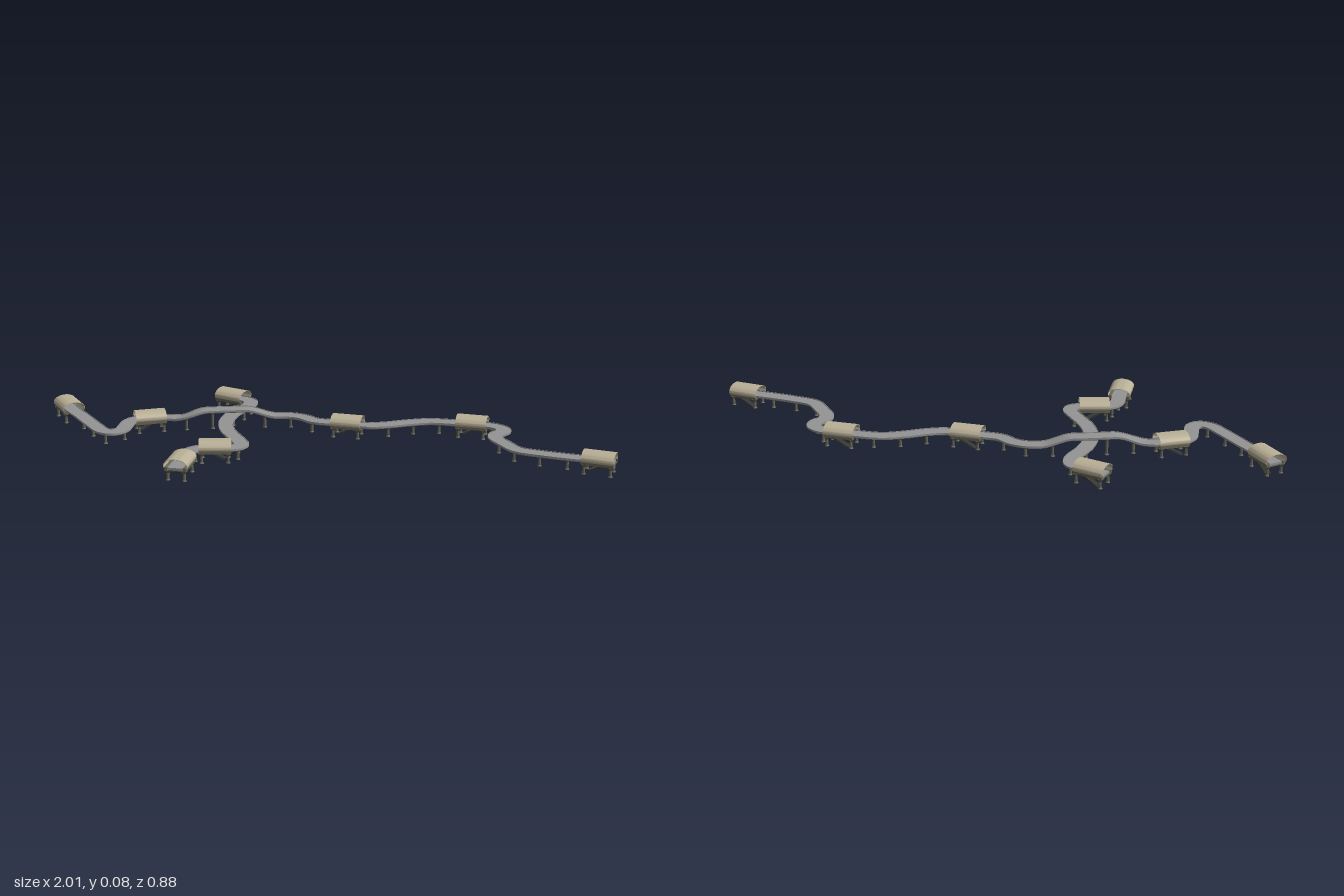
import * as THREE from 'three';
import { toCreasedNormals } from 'three/addons/utils/BufferGeometryUtils.js';

const mat = (name, color) => {
  const m = new THREE.MeshStandardMaterial({ color });
  m.name = name;
  return m;
};
const grey = mat('concrete grey', 0x959595);
const tan = mat('roof tan', 0xbab097);
const olive = mat('pier olive', 0x6a6857);
const dark = mat('stair dark grey', 0x3c3c3a);

const add = (parent, name, geometry, material, x = 0, y = 0, z = 0) => {
  const m = new THREE.Mesh(geometry, material);
  m.name = name;
  m.position.set(x, y, z);
  parent.add(m);
  return m;
};

// Sweeps a counterclockwise [across, up] profile along frames { p, t }
function sweep(frames, profile) {
  const rings = frames.map(({ p, t }) => {
    const l = Math.hypot(t.x, t.z);
    return profile.map(([u, v]) => [p.x - (t.z / l) * u, p.y + v, p.z + (t.x / l) * u]);
  });
  const out = [], n = profile.length;
  const tri = (...c) => c.forEach((q) => out.push(...q));
  for (let i = 0; i < rings.length - 1; i++) {
    const A = rings[i], B = rings[i + 1];
    for (let j = 0; j < n; j++) {
      const k = (j + 1) % n;
      tri(A[j], B[j], A[k]);
      tri(A[k], B[j], B[k]);
    }
  }
  const first = rings[0], last = rings[rings.length - 1];
  const faces = THREE.ShapeUtils.triangulateShape(profile.map(([u, v]) => new THREE.Vector2(u, v)), []);
  for (const [a, b, c] of faces) {
    tri(first[a], first[b], first[c]);
    tri(last[a], last[c], last[b]);
  }
  const g = new THREE.BufferGeometry();
  g.setAttribute('position', new THREE.Float32BufferAttribute(out, 3));
  return toCreasedNormals(g, 0.6);
}

// Routes as [x, z]; entries with four numbers are stations: [x, z, dirX, dirZ]
const mainRoute = [
  [-0.943, -0.28, 9, 19], [-0.89, -0.18], [-0.825, -0.055], [-0.79, 0.003], [-0.755, 0.02], [-0.725, 0],
  [-0.713, -0.045], [-0.703, -0.09], [-0.63, -0.132, 19.5, -4.5], [-0.49, -0.13], [-0.4, -0.14],
  [-0.29, -0.147], [-0.18, -0.15], [-0.115, -0.147], [-0.067, -0.125], [-0.025, -0.083],
  [0.093, -0.045, 20, 6], [0.175, -0.021], [0.24, -0.028], [0.32, -0.049], [0.4, -0.06],
  [0.547, -0.024, 20, 6], [0.625, 0.005], [0.65, 0.035], [0.648, 0.067], [0.617, 0.1], [0.612, 0.136],
  [0.638, 0.2], [0.67, 0.26], [0.75, 0.302], [0.83, 0.334], [0.932, 0.374, 19, 8],
];
const crossRoute = [
  [-0.329, -0.375, 16, 10], [-0.264, -0.325], [-0.26, -0.3], [-0.272, -0.26], [-0.307, -0.205],
  [-0.334, -0.147], [-0.35, -0.067], [-0.34, 0.02], [-0.307, 0.11], [-0.29, 0.168], [-0.303, 0.194],
  [-0.382, 0.202, -1, 0], [-0.462, 0.222], [-0.477, 0.255], [-0.497, 0.35, -5, 20],
];

// The main line climbs over the crossing line
const bridge = (x) => 0.028 * THREE.MathUtils.smoothstep(x, -0.54, -0.42) * (1 - THREE.MathUtils.smoothstep(x, -0.28, -0.16));
const flat = () => 0;

function routeFrames(route, lift, count) {
  const pts = [];
  for (const [x, z, dx, dz] of route) {
    if (dx === undefined) { pts.push(new THREE.Vector3(x, 0, z)); continue; }
    const l = Math.hypot(dx, dz);
    for (const s of [-0.052, 0, 0.052]) pts.push(new THREE.Vector3(x + (s * dx) / l, 0, z + (s * dz) / l));
  }
  const curve = new THREE.CatmullRomCurve3(pts, false, 'centripetal');
  curve.arcLengthDivisions = 600;
  return Array.from({ length: count + 1 }, (_, i) => {
    const p = curve.getPointAt(i / count), t = curve.getTangentAt(i / count);
    p.y = lift(p.x);
    return { p, t };
  });
}

// Shared pieces
const deckProfile = [
  [-0.02, 0.037], [0.02, 0.037], [0.027, 0.042], [0.027, 0.049],
  [0.025, 0.049], [0.025, 0.046], [-0.025, 0.046], [-0.025, 0.049], [-0.027, 0.049], [-0.027, 0.042],
];
const roofArc = (inset) => Array.from({ length: 21 }, (_, i) => {
  const a = -0.4 + (i / 20) * (Math.PI + 0.8);
  return [(0.0425 - inset) * Math.cos(a), 0.054 + (0.024 - inset) * Math.sin(a)];
});
const span = [-0.056, 0.056].map((z) => ({ p: new THREE.Vector3(0, 0, z), t: new THREE.Vector3(0, 0, 1) }));
const roofGeo = sweep(span, [...roofArc(0), ...roofArc(0.0015).reverse()]);
const shaftGeo = new THREE.CylinderGeometry(0.005, 0.005, 1, 10);
const headGeo = new THREE.CylinderGeometry(0.012, 0.005, 0.01, 10);
const footGeo = new THREE.CylinderGeometry(0.006, 0.008, 0.004, 10);

// Stepped flight, rising along the station
const STEPS = 9;
const flight = new THREE.Shape();
flight.moveTo(0, 0);
for (let i = 0; i < STEPS; i++) {
  const x = (i * 0.065) / STEPS, y = ((i + 1) * 0.037) / STEPS;
  flight.lineTo(x, y);
  flight.lineTo(x + 0.065 / STEPS, y);
}
flight.lineTo(0.065, 0.031);
flight.lineTo(0.01, 0);
const flightGeo = new THREE.ExtrudeGeometry(flight, { depth: 0.024, bevelEnabled: false });
flightGeo.translate(-0.036, 0, -0.012).rotateY(-Math.PI / 2);

function pier(parent, x, z, top, name) {
  const g = new THREE.Group();
  g.name = name;
  g.position.set(x, 0, z);
  add(g, 'shaft', shaftGeo, olive, 0, top / 2, 0).scale.y = top;
  add(g, 'head', headGeo, olive, 0, top - 0.005, 0);
  add(g, 'foot', footGeo, olive, 0, 0.002, 0);
  parent.add(g);
}

function station([x, z, dx, dz]) {
  const g = new THREE.Group();
  g.name = 'station';
  g.position.set(x, 0, z);
  g.rotation.y = Math.atan2(dx, dz);
  add(g, 'barrelRoof', roofGeo, tan);
  add(g, 'platformSlab', new THREE.BoxGeometry(0.076, 0.004, 0.11), olive, 0, 0.037, 0);
  // One flight, always under the rear side of the platform
  add(g, 'stairs', flightGeo, dark, dx > 0 ? 0.017 : -0.017, 0, 0);
  for (const s of [-1, 1]) {
    add(g, 'platform', new THREE.BoxGeometry(0.011, 0.009, 0.11), olive, s * 0.0335, 0.0435, 0);
    for (const e of [-0.046, 0.046]) pier(g, s * 0.029, e, 0.036, 'stationPier');
  }
  return g;
}

export function createModel() {
  const model = new THREE.Group();
  model.name = 'elevatedRailway';
  const main = routeFrames(mainRoute, bridge, 320);
  const cross = routeFrames(crossRoute, flat, 150);

  for (const [name, route, frames, step] of [['mainLine', mainRoute, main, 12], ['crossLine', crossRoute, cross, 11]]) {
    const line = new THREE.Group();
    line.name = name;
    model.add(line);
    add(line, 'trackDeck', sweep(frames, deckProfile), grey);
    const stops = route.filter((r) => r.length === 4);
    stops.forEach((s) => line.add(station(s)));

    // Evenly spaced piers, kept clear of stations and of the line below
    for (let i = step; i < frames.length - 1; i += step) {
      const { p } = frames[i];
      if (stops.some(([x, z]) => Math.hypot(p.x - x, p.z - z) < 0.068)) continue;
      if (name === 'mainLine' && cross.some((c) => Math.hypot(p.x - c.p.x, p.z - c.p.z) < 0.04)) continue;
      pier(line, p.x, p.z, 0.038 + p.y, 'trackPier');
    }
  }
  return model;
}
